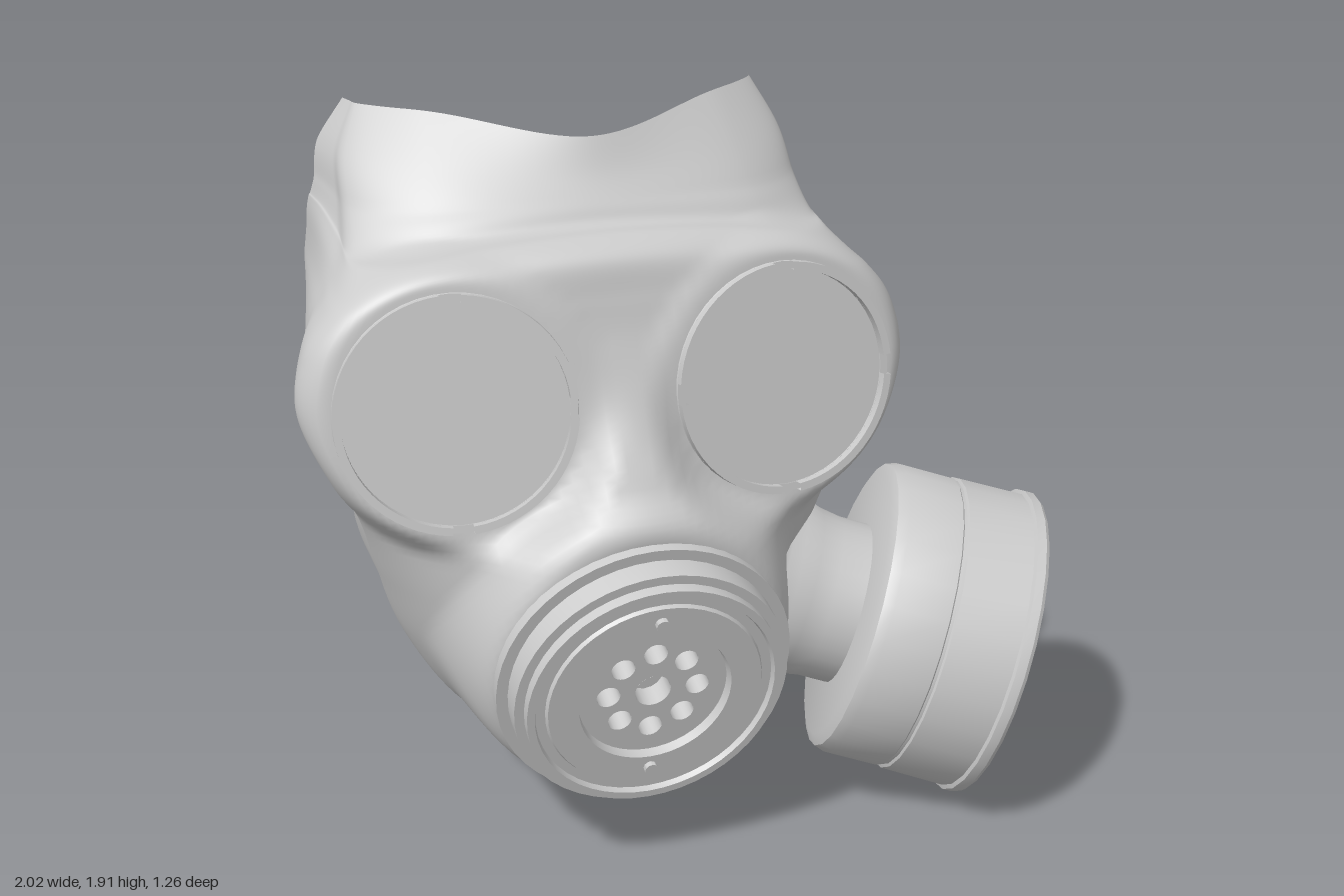
import * as THREE from 'three';
import { toCreasedNormals } from 'three/addons/utils/BufferGeometryUtils.js';

const V = (x, y, z) => new THREE.Vector3(x, y, z);
const material = new THREE.MeshStandardMaterial({ color: 0xcccccc, side: THREE.DoubleSide });
const { smoothstep, lerp } = THREE.MathUtils;
const FACE_X = -0.215; // the mask sits off centre because of the side filter

function mesh(name, geometry) {
  const m = new THREE.Mesh(geometry, material);
  m.name = name;
  return m;
}

// Turned part whose axis is +z; profile is [radius, height] pairs
function turned(name, profile, sides = 48, start = 0, length = Math.PI * 2) {
  const g = new THREE.LatheGeometry(profile.map(([r, h]) => new THREE.Vector2(r, h)), sides, start, length);
  return mesh(name, toCreasedNormals(g.rotateX(Math.PI / 2), 0.6));
}

// Group whose local +z points along dir
function mount(name, position, dir) {
  const g = new THREE.Group();
  g.name = name;
  g.position.copy(position);
  g.quaternion.setFromUnitVectors(V(0, 0, 1), dir.clone().normalize());
  return g;
}

// Flat seats in the face: centre, normal, hole radius, flat radius, blend radius
const seats = [
  { c: V(0.425, 1.27, 0.225), n: V(0.12, 0.12, 1), hole: 0.285, flat: 0.31, blend: 0.39 },
  { c: V(-0.425, 1.27, 0.225), n: V(-0.12, 0.12, 1), hole: 0.285, flat: 0.31, blend: 0.39 },
  { c: V(0, 0.57, 0.36), n: V(0, -0.23, 1), hole: 0.33, flat: 0.37, blend: 0.5 },
];
const seatZ = (s, x, y) => s.c.z - (s.n.x * (x - s.c.x) + s.n.y * (y - s.c.y)) / s.n.z;

// Half sections from top to chin: y, front z, cheek x, cheek z, side x, side z, rim x
const sections = [
  [1.865, -0.04, 0.36, -0.20, 0.53, -0.35, 0.55],
  [1.78, 0.00, 0.39, -0.10, 0.58, -0.26, 0.615],
  [1.71, 0.045, 0.42, -0.01, 0.59, -0.15, 0.63],
  [1.668, 0.075, 0.43, 0.04, 0.60, -0.06, 0.64],
  [1.655, 0.135, 0.44, 0.11, 0.61, 0.02, 0.645],
  [1.61, 0.19, 0.45, 0.16, 0.645, 0.08, 0.65],
  [1.52, 0.21, 0.45, 0.19, 0.69, 0.11, 0.65],
  [1.41, 0.235, 0.45, 0.20, 0.755, 0.12, 0.65],
  [1.26, 0.29, 0.45, 0.21, 0.78, 0.12, 0.65],
  [1.08, 0.385, 0.42, 0.25, 0.71, 0.10, 0.63],
  [0.94, 0.45, 0.40, 0.28, 0.635, 0.06, 0.60],
  [0.75, 0.43, 0.38, 0.27, 0.58, 0.00, 0.57],
  [0.55, 0.40, 0.34, 0.24, 0.515, -0.05, 0.52],
  [0.36, 0.33, 0.27, 0.18, 0.40, -0.05, 0.41],
  [0.225, 0.24, 0.16, 0.12, 0.24, -0.05, 0.25],
  [0.168, 0.16, 0.10, 0.08, 0.14, -0.05, 0.10],
  [0.155, 0.10, 0, 0.04, 0, -0.05, 0],
];

// Ragged back edge: y, z
const rim = [
  [1.87, -0.42], [1.78, -0.47], [1.70, -0.46], [1.57, -0.51], [1.47, -0.59], [1.32, -0.60], [1.17, -0.53],
  [1.0, -0.46], [0.85, -0.49], [0.73, -0.55], [0.67, -0.62], [0.53, -0.63], [0.37, -0.43], [0.15, -0.36],
];
function rimZ(y) {
  let i = 0;
  while (i < rim.length - 2 && y < rim[i + 1][0]) i++;
  const [[y0, z0], [y1, z1]] = [rim[i], rim[i + 1]];
  return lerp(z0, z1, THREE.MathUtils.clamp((y - y0) / (y1 - y0), 0, 1));
}

function facePiece() {
  const rail = f => new THREE.CatmullRomCurve3(sections.map(f), false, 'catmullrom', 0.5);
  const front = rail(s => V(0, s[0], s[1]));
  const cheek = rail(s => V(s[2], s[0], s[3]));
  const side = rail(s => V(s[4], s[0], s[5]));
  const back = rail(s => V(s[6], s[0], 0));
  const rows = 128, cols = 112;
  const pos = [], inside = [], index = [];
  for (let r = 0; r <= rows; r++) {
    const t = r / rows;
    const s = side.getPoint(t), b = back.getPoint(t);
    b.z = rimZ(b.y);
    const half = [cheek.getPoint(t), s, s.clone().lerp(b, 0.4), b];
    const left = half.map(p => V(-p.x, p.y, p.z)).reverse();
    const loop = new THREE.CatmullRomCurve3([...left, front.getPoint(t), ...half]);
    for (let c = 0; c <= cols; c++) {
      const p = loop.getPoint(c / cols);
      // The top edge rises and the brow fold droops away from the centre
      p.y += 0.055 * smoothstep(Math.abs(p.x), 0, 0.42) * Math.max(0, 1 - t * 9);
      p.y -= 0.06 * (p.x / 0.6) ** 2 * Math.exp(-(((p.y - 1.65) / 0.1) ** 2)) * smoothstep(p.z, -0.4, 0);
      let hole = 0;
      seats.forEach((seat, k) => {
        const dx = p.x - seat.c.x, dy = p.y - seat.c.y, d = Math.hypot(dx, dy);
        const w = (1 - smoothstep(d, seat.flat, seat.blend)) * smoothstep(p.z, -0.02, 0.09);
        p.z = lerp(p.z, seatZ(seat, p.x, p.y), w);
        if (d < seat.hole && p.z > 0.05) {
          // Snap to the edge of the opening
          hole = k + 1;
          p.x = seat.c.x + dx / (d || 1) * seat.hole;
          p.y = seat.c.y + dy / (d || 1) * seat.hole;
          p.z = seatZ(seat, p.x, p.y);
        }
      });
      pos.push(p.x, p.y, p.z);
      inside.push(hole);
    }
  }
  for (let r = 0; r < rows; r++) {
    for (let c = 0; c < cols; c++) {
      const a = r * (cols + 1) + c, d = a + cols + 1;
      for (const tri of [[a, d, a + 1], [a + 1, d, d + 1]]) {
        if (!tri.every(i => inside[i])) index.push(...tri);
      }
    }
  }
  const g = new THREE.BufferGeometry();
  g.setAttribute('position', new THREE.Float32BufferAttribute(pos, 3));
  g.setIndex(index);
  g.computeVertexNormals();
  return mesh('facePiece', g);
}

// Lens, collar and a retaining ring with four notches
function eyepiece(seat, name) {
  const g = mount(name, seat.c, seat.n);
  g.add(turned('lens', [[0.28, 0], [0, 0]]));
  g.add(turned('collar', [
    [0.23, -0.005], [0.23, -0.05], [0.275, -0.05], [0.275, -0.02], [0.305, -0.015], [0.3, 0.005], [0.28, 0.005]]));
  for (let k = 0; k < 4; k++) {
    g.add(turned('retainingRing', [[0.3, -0.02], [0.3, 0.025], [0.28, 0.025], [0.28, -0.01]],
      14, k * Math.PI / 2 + 0.09, Math.PI / 2 - 0.18));
  }
  return g;
}

// Stepped front valve with a perforated plate of small cups
function valve() {
  const g = mount('valve', V(0, 0.57, 0.41), V(0, -0.23, 1));
  g.add(turned('steppedRing', [
    [0.33, -0.09], [0.385, -0.09], [0.39, -0.02], [0.36, -0.02], [0.36, 0.045], [0.335, 0.045], [0.335, 0.075],
    [0.315, 0.075], [0.31, 0.06], [0.285, 0.06], [0.28, 0.07], [0.2, 0.07], [0.195, 0.045]]));
  const cups = [[0, 0, 0.047]];
  for (let k = 0; k < 8; k++) {
    const a = k * Math.PI / 4;
    cups.push([0.117 * Math.cos(a), 0.117 * Math.sin(a), 0.031]);
  }
  const plate = new THREE.Shape().absarc(0, 0, 0.2, 0, Math.PI * 2);
  for (const [x, y, r] of cups) {
    plate.holes.push(new THREE.Path().absarc(x, y, r, 0, Math.PI * 2, true));
    const cup = turned('ventCup', [[0, -0.02], [r, -0.02], [r, 0.045]], 16);
    cup.position.set(x, y, 0);
    g.add(cup);
  }
  g.add(mesh('ventPlate', new THREE.ExtrudeGeometry(plate, { depth: 0.01, bevelEnabled: false, curveSegments: 16 })
    .translate(0, 0, 0.035)));
  for (const y of [0.235, -0.235]) {
    const screw = turned('screw', [[0.018, 0.05], [0.018, 0.085], [0, 0.085]], 12);
    screw.position.y = y;
    g.add(screw);
  }
  return g;
}

// Filter canister on its flared neck
function filter() {
  const g = mount('filter', V(0.455 - FACE_X, 0.54, 0.1), V(1, -0.31, 0.32));
  g.add(turned('canister', [
    [0, 0], [0.37, 0], [0.4, 0.012], [0.41, 0.04], [0.41, 0.19], [0.406, 0.194], [0.406, 0.202], [0.414, 0.206],
    [0.418, 0.385], [0.429, 0.39], [0.429, 0.415], [0.422, 0.425], [0.407, 0.425], [0.405, 0.415],
    [0.105, 0.425], [0.105, 0.385], [0, 0.385]], 28));
  g.add(turned('neck', [
    [0.285, -0.275], [0.265, -0.245], [0.255, -0.225], [0.252, -0.19], [0.235, -0.14], [0.225, -0.08], [0.225, 0.01]], 32));
  return g;
}

export function createModel() {
  const model = new THREE.Group();
  model.name = 'gasMask';
  const mask = new THREE.Group();
  mask.name = 'mask';
  mask.position.x = FACE_X;
  mask.add(facePiece(), eyepiece(seats[0], 'leftEyepiece'), eyepiece(seats[1], 'rightEyepiece'), valve(), filter());
  model.add(mask);
  return model;
}
